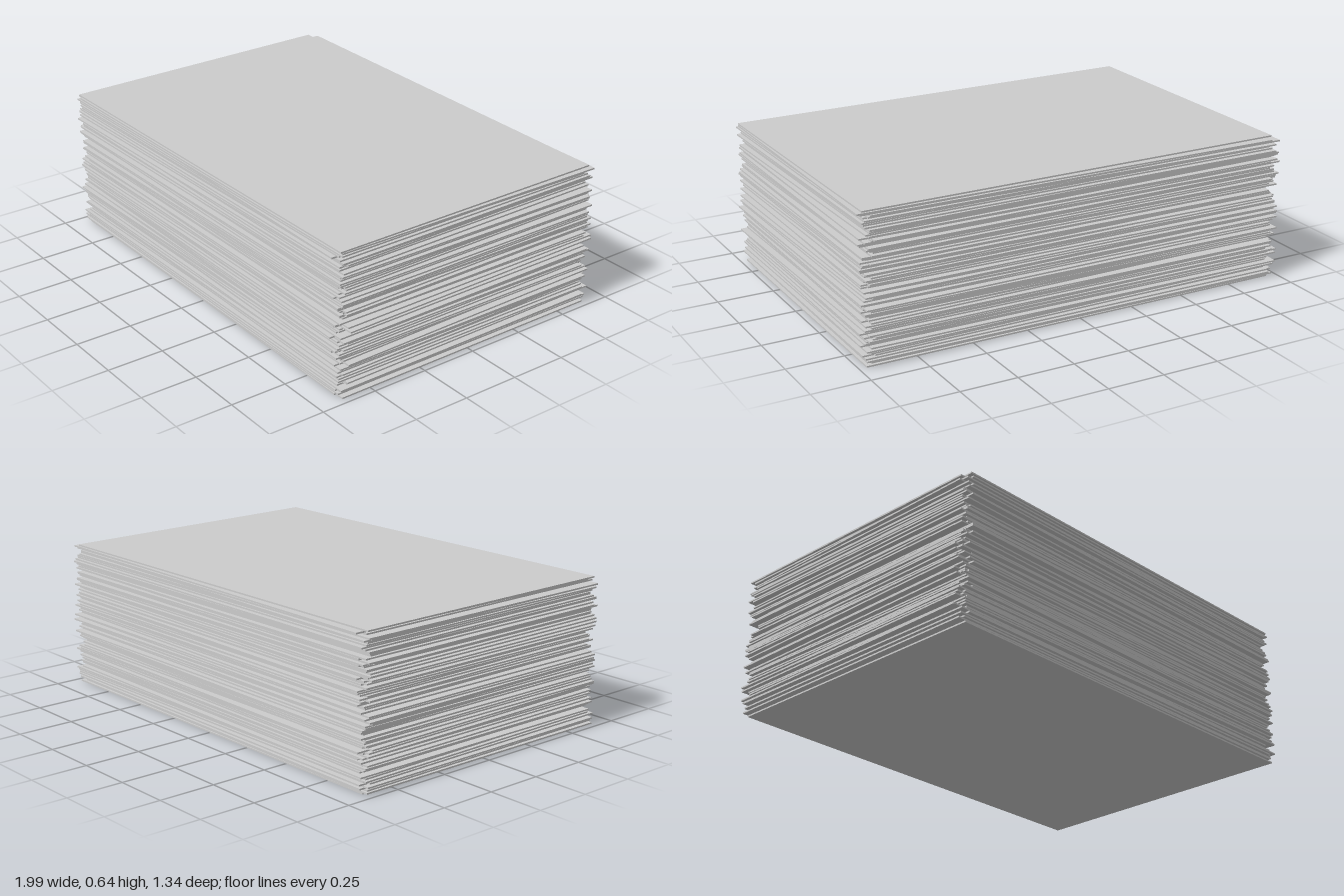
import * as THREE from 'three';

const SHEETS = 96;
const HEIGHT = 0.64;
const WIDTH = 1.92;
const DEPTH = 1.28;

// Small seeded generator, returns values in -1..1
function makeJitter(seed) {
  let s = seed;
  return () => {
    s = (s * 16807) % 2147483647;
    return (s / 2147483647) * 2 - 1;
  };
}

export function createModel() {
  const group = new THREE.Group();
  group.name = 'paperStack';
  const material = new THREE.MeshStandardMaterial({ color: 0xcccccc, flatShading: true });
  const thickness = HEIGHT / SHEETS;
  const geometry = new THREE.BoxGeometry(WIDTH, thickness, DEPTH);
  const jitter = makeJitter(4217);

  // Loosely piled sheets, each slightly shifted and turned
  for (let i = 0; i < SHEETS; i++) {
    const sheet = new THREE.Mesh(geometry, material);
    sheet.name = `sheet${i + 1}`;
    sheet.position.set(jitter() * 0.027, (i + 0.5) * thickness, jitter() * 0.017);
    sheet.rotation.y = jitter() * 0.016;
    group.add(sheet);
  }

  // Bottom sheet lies nearly square, top sheet sits a little forward
  const bottom = group.children[0];
  bottom.position.x = 0.01;
  bottom.position.z = 0;
  bottom.rotation.y = 0.002;
  const top = group.children[SHEETS - 1];
  top.position.x = 0.01;
  top.position.z = 0.016;
  top.rotation.y = 0.006;

  return group;
}
